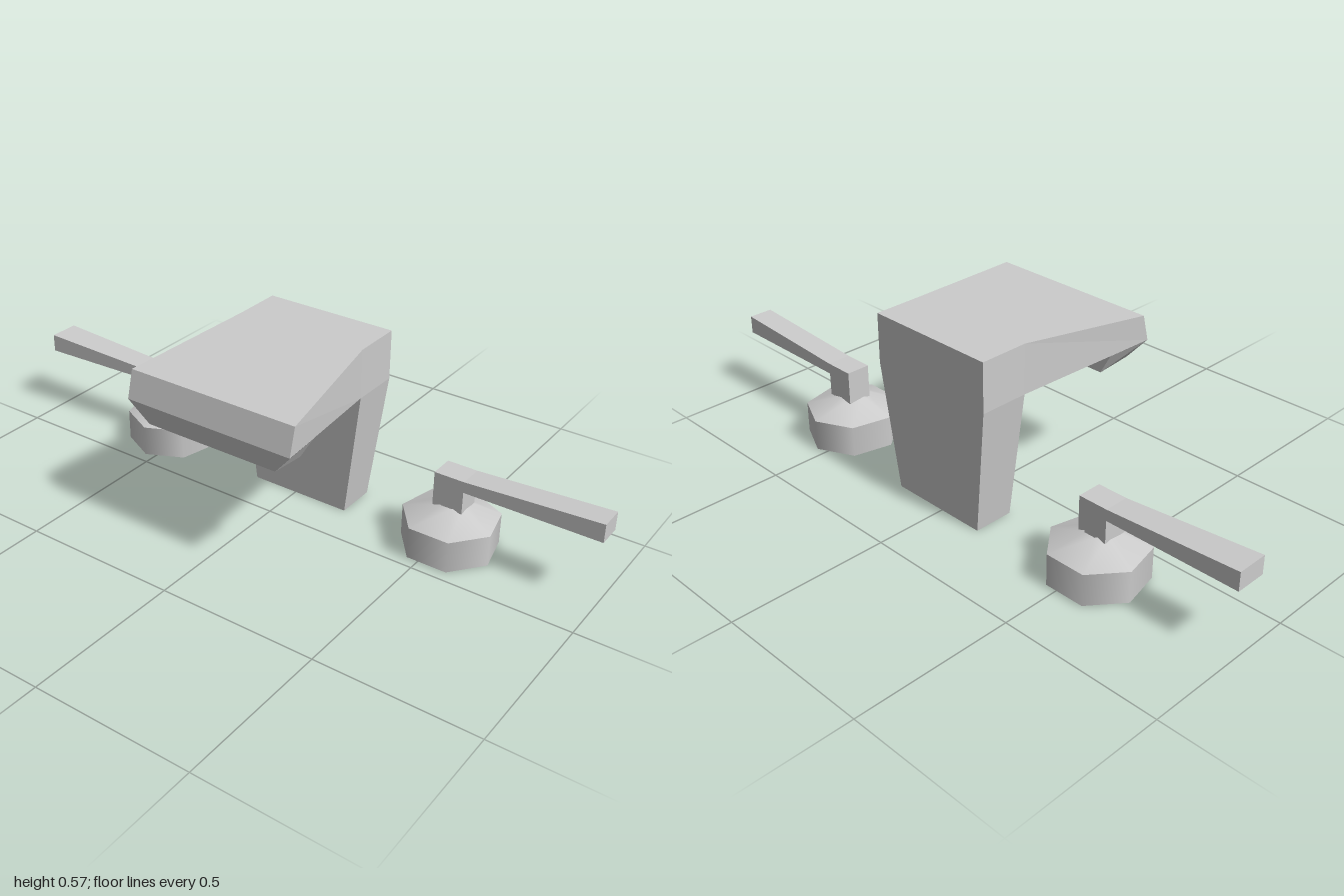
import * as THREE from 'three';

const material = new THREE.MeshStandardMaterial({ color: 0xcccccc });

// Skin a series of four-cornered rings (counter-clockwise seen along the path) and cap both ends
function loft(name, rings) {
  const pos = [];
  const tri = (a, b, c) => {
    const [A, B, C] = [a, b, c].map(p => new THREE.Vector3(...p));
    if (B.sub(A).cross(C.sub(A)).length() > 1e-8) pos.push(...a, ...b, ...c);
  };
  const quad = (a, b, c, d) => { tri(a, b, c); tri(a, c, d); };
  for (let r = 0; r < rings.length - 1; r++) {
    for (let i = 0; i < 4; i++) {
      const j = (i + 1) % 4;
      quad(rings[r][i], rings[r][j], rings[r + 1][j], rings[r + 1][i]);
    }
  }
  quad(...[...rings[0]].reverse());
  quad(...rings[rings.length - 1]);
  const geometry = new THREE.BufferGeometry();
  geometry.setAttribute('position', new THREE.Float32BufferAttribute(pos, 3));
  geometry.computeVertexNormals();
  const mesh = new THREE.Mesh(geometry, material);
  mesh.name = name;
  return mesh;
}

// Spout ring from an inner and an outer profile point, with a half width at each
const MID_Z = 0.016;
const spoutRing = (inner, outer, w, w2 = w) => [
  [...inner, MID_Z + w], [...outer, MID_Z + w2],
  [...outer, MID_Z - w2], [...inner, MID_Z - w],
];

// Lever ring at one z position
const leverRing = (x0, x1, y0, y1, z) => [[x0, y0, z], [x1, y0, z], [x1, y1, z], [x0, y1, z]];

// Seven-sided tap base with a lever pointing outwards along z
function handle(name, side, baseX, tipX) {
  const group = new THREE.Group();
  group.name = name;
  const ring = (part, top, bottom, y0, y1) => {
    const mesh = new THREE.Mesh(
      new THREE.CylinderGeometry(top, bottom, y1 - y0, 7, 1, true, side * Math.PI / 2), material);
    mesh.position.set(baseX, (y0 + y1) / 2, side * 0.53);
    mesh.name = part;
    group.add(mesh);
  };
  ring('handleUnderside', 0.148, 0.04, 0, 0.003);
  ring('handleBase', 0.148, 0.148, 0.003, 0.103);
  ring('handleShoulder', 0.042, 0.148, 0.103, 0.15);

  // Square stem
  const stem = new THREE.Mesh(new THREE.BoxGeometry(0.078, 0.075, 0.095), material);
  stem.position.set(0.172, 0.1795, side * 0.5315);
  stem.name = 'handleStem';
  group.add(stem);

  // Lever, thicker towards the tip
  const rings = [
    leverRing(0.133, 0.211, 0.215, 0.25, side * 0.484),
    leverRing(0.133, 0.211, 0.215, 0.25, side * 0.579),
    leverRing(tipX, 0.211, 0.215, 0.273, side),
  ];
  group.add(loft('handleLever', side > 0 ? rings : rings.reverse()));
  return group;
}

export function createModel() {
  const model = new THREE.Group();
  model.name = 'tapSet';

  // Upright and arm, bent over at the top
  const bend = [0.128, 0.41];
  model.add(loft('spout', [
    spoutRing([0.137, 0], [0.267, 0], 0.166),
    spoutRing(bend, [0.285, 0.41], 0.215),
    spoutRing(bend, [0.285, 0.566], 0.215),
    spoutRing(bend, [0.128, 0.566], 0.215),
    spoutRing([-0.318, 0.445], [-0.295, 0.53], 0.28),
  ]));

  // Tapered outlet under the tip
  model.add(loft('outlet', [
    spoutRing([-0.3, 0.375], [-0.183, 0.365], 0.22),
    spoutRing([-0.318, 0.445], [-0.178, 0.434], 0.28, 0.26),
  ]));

  model.add(handle('frontHandle', 1, 0.168, 0.133));
  model.add(handle('backHandle', -1, 0.18, 0.113));
  return model;
}
